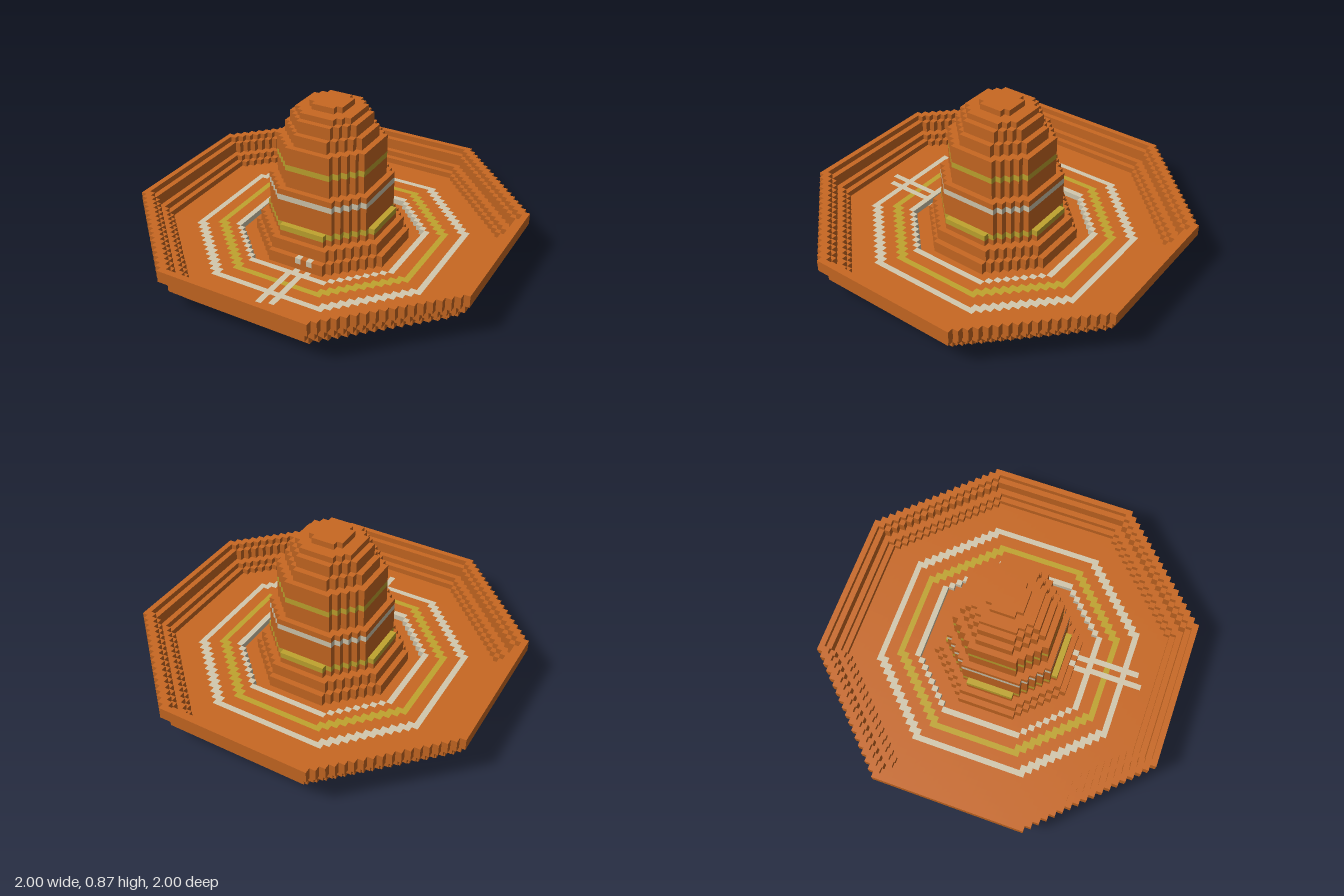
import * as THREE from 'three';

const S = 1 / 30; // edge length of one block
const HALF = 30;

const material = (name, color) => {
  const m = new THREE.MeshStandardMaterial({ color });
  m.name = name;
  return m;
};

// Block octagon: reach r along the axes, flat sides of half-length f
const inside = (x, z, [r, f]) => {
  const a = Math.abs(x + 0.5) + 0.5, b = Math.abs(z + 0.5) + 0.5;
  return a <= r && b <= r && a + b <= r + f;
};

export function createModel() {
  const felt = material('orangeFelt', 0xc86822);
  const cream = material('creamTrim', 0xd2c8ae);
  const gold = material('goldTrim', 0xc0a42e);

  const cells = new Map();
  const key = (x, y, z) => `${x},${y},${z}`;

  // Fill layers y0..y1 with an octagon, optionally leaving an octagonal hole
  function fill(part, mat, y0, y1, outer, hole) {
    for (let x = -HALF; x < HALF; x++) {
      for (let z = -HALF; z < HALF; z++) {
        if (!inside(x, z, outer) || (hole && inside(x, z, hole))) continue;
        for (let y = y0; y <= y1; y++) cells.set(key(x, y, z), { p: [x, y, z], part, mat });
      }
    }
  }

  // Brim: base, raised floor around a shallow well, and three woven rings
  fill('brim', felt, 0, 0, [26, 11]);
  fill('brim', felt, 1, 1, [27, 11], [14, 7]);
  fill('outerRing', cream, 1, 1, [21, 10], [20, 9]);
  fill('middleRing', gold, 1, 1, [18, 8], [17, 7]);
  fill('innerRing', cream, 1, 1, [15, 7], [14, 7]);

  // Upturned rim, stepping outwards
  fill('rim', felt, 2, 2, [28, 12], [26, 11]);
  fill('rim', felt, 3, 3, [29, 12], [27, 11]);
  fill('rim', felt, 4, 4, [29, 12], [28, 12]);
  fill('rim', felt, 5, 5, [30, 13], [28, 12]);
  fill('rim', felt, 6, 6, [30, 13], [29, 12]);

  // Crown: first layer, last layer, octagon
  const crown = [
    [1, 2, [12, 5]], [3, 4, [11, 5]], [5, 6, [10, 4]], [7, 12, [9, 5]],
    [13, 19, [8, 4]], [20, 21, [7, 3]], [22, 23, [6, 3]], [24, 24, [5, 3]], [25, 25, [3, 2]],
  ];
  for (const [y0, y1, size] of crown) fill('crown', felt, y0, y1, size);
  fill('lowerBand', gold, 6, 6, [10, 4]);
  fill('middleBand', cream, 11, 11, [9, 5]);
  fill('upperBand', gold, 16, 16, [8, 4]);

  // Two stitches across the front of the brim, on the topmost blocks
  for (const [x, end] of [[0, 24], [2, 23]]) {
    for (let z = 11; z < end; z++) {
      let y = 6;
      while (!cells.has(key(x, y, z))) y--;
      Object.assign(cells.get(key(x, y, z)), { part: 'stitches', mat: cream });
    }
  }

  // Collect the exposed block faces of each part
  const parts = new Map();
  const square = [[0, 0], [1, 0], [1, 1], [0, 1]];
  for (const { p, part, mat } of cells.values()) {
    if (!parts.has(part)) parts.set(part, { mat, pos: [], nor: [], idx: [] });
    const { pos, nor, idx } = parts.get(part);
    for (let d = 0; d < 3; d++) {
      for (const s of [1, -1]) {
        const next = [...p];
        next[d] += s;
        if (cells.has(key(...next))) continue;
        const n = [0, 0, 0];
        n[d] = s;
        const base = pos.length / 3;
        for (const [u, v] of square) {
          const c = [...p];
          if (s > 0) c[d] += 1;
          c[(d + 1) % 3] += u;
          c[(d + 2) % 3] += v;
          pos.push(c[0] * S, c[1] * S, c[2] * S);
          nor.push(...n);
        }
        const order = s > 0 ? [0, 1, 2, 0, 2, 3] : [0, 2, 1, 0, 3, 2];
        idx.push(...order.map((i) => base + i));
      }
    }
  }

  const hat = new THREE.Group();
  hat.name = 'hat';
  for (const [name, { mat, pos, nor, idx }] of parts) {
    const g = new THREE.BufferGeometry();
    g.setAttribute('position', new THREE.Float32BufferAttribute(pos, 3));
    g.setAttribute('normal', new THREE.Float32BufferAttribute(nor, 3));
    g.setIndex(idx);
    const mesh = new THREE.Mesh(g, mat);
    mesh.name = name;
    hat.add(mesh);
  }
  return hat;
}
